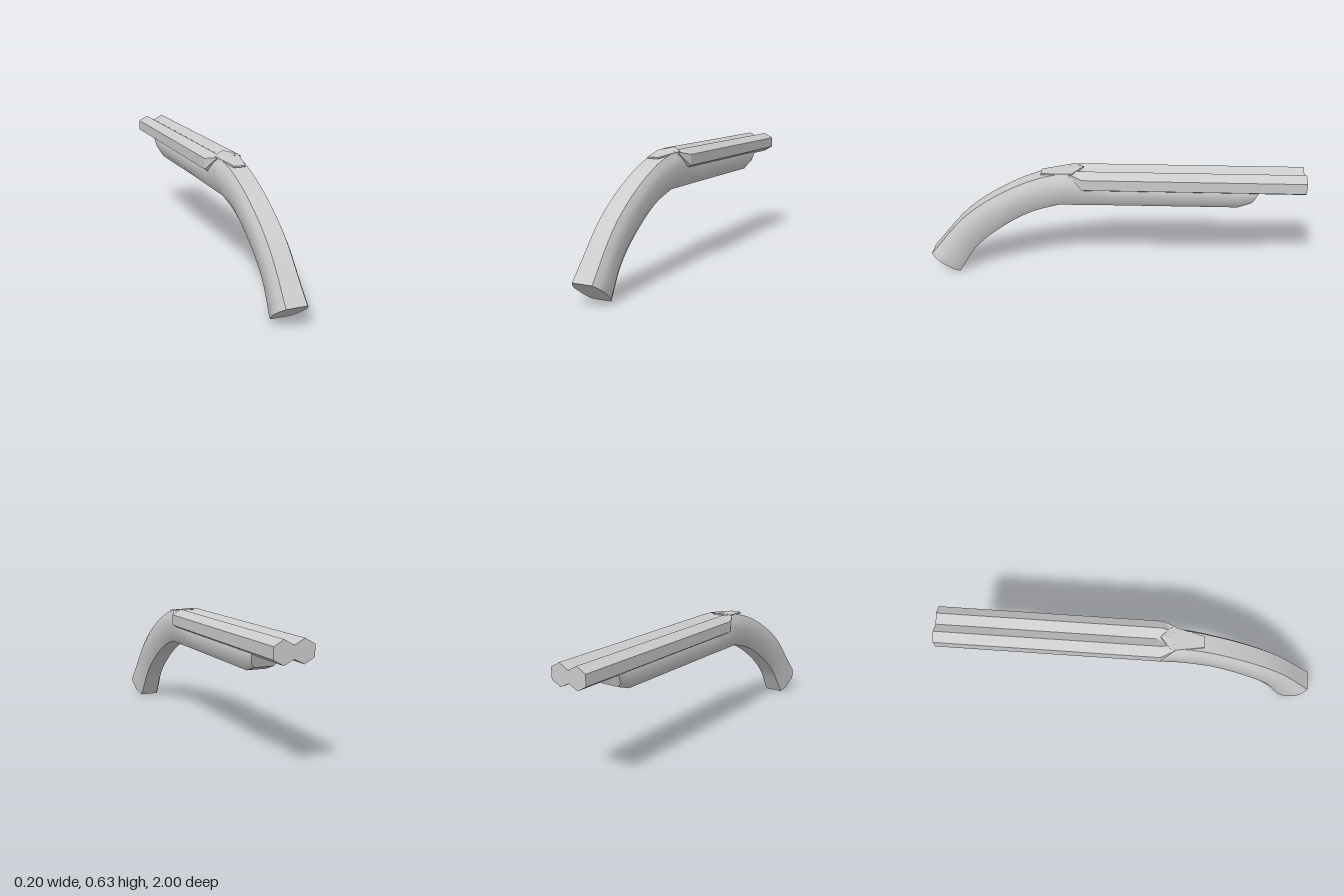
import * as THREE from 'three';
import { toCreasedNormals } from 'three/addons/utils/BufferGeometryUtils.js';

const grey = new THREE.MeshStandardMaterial({ color: 0xcccccc });

// Skin equal-length rings of [x, y, z] and close both ends
function loft(name, rings, crease) {
  const n = rings[0].length, pos = [], idx = [];
  rings.forEach(r => r.forEach(p => pos.push(...p)));
  for (let k = 0; k < rings.length - 1; k++) {
    for (let i = 0; i < n; i++) {
      const a = k * n + i, b = k * n + (i + 1) % n;
      idx.push(a, b, b + n, a, b + n, a + n);
    }
  }
  const last = (rings.length - 1) * n;
  [[rings[0], 0, true], [rings[rings.length - 1], last, false]].forEach(([ring, base, flip]) => {
    const c = pos.length / 3;
    pos.push(...[0, 1, 2].map(j => ring.reduce((s, p) => s + p[j], 0) / n));
    for (let i = 0; i < n; i++) {
      const a = base + i, b = base + (i + 1) % n;
      if (flip) idx.push(c, b, a); else idx.push(c, a, b);
    }
  });
  const geo = new THREE.BufferGeometry();
  geo.setAttribute('position', new THREE.Float32BufferAttribute(pos, 3));
  geo.setIndex(idx);
  const mesh = new THREE.Mesh(toCreasedNormals(geo, crease), grey);
  mesh.name = name;
  return mesh;
}

// Half outline of the stock: [fraction of half width, fraction from top to bottom]
const halfOutline = [[0.65, 0], [0.88, 0.17], [1, 0.38], [0.88, 0.8], [0.64, 1]];

function stockRing([topZ, topY, botZ, botY, w]) {
  const side = s => halfOutline.map(([x, t]) =>
    [s * x * w, topY + (botY - topY) * t, topZ + (botZ - topZ) * t]);
  return [...side(1).reverse(), ...side(-1)];
}

const curve = pts => new THREE.CatmullRomCurve3(pts.map(([z, y]) => new THREE.Vector3(0, y, z)));

export function createModel() {
  const group = new THREE.Group();

  // Straight fore-end followed by the curved grip
  const sections = [
    [-0.775, 0.57, -0.73, 0.46, 0.078],
    [-0.68, 0.57, -0.66, 0.435, 0.08],
    [0, 0.57, 0, 0.434, 0.08],
    [0.13, 0.6, 0.2, 0.433, 0.082],
  ];
  const top = curve([[0.2, 0.62], [0.36, 0.59], [0.57, 0.5], [0.786, 0.353], [1, 0.11]]);
  const bottom = curve([[0.28, 0.433], [0.42, 0.388], [0.57, 0.305], [0.74, 0.165], [0.85, 0]]);
  const steps = 18;
  for (let i = 0; i <= steps; i++) {
    const u = i / steps, a = top.getPointAt(u), b = bottom.getPointAt(u);
    const flare = Math.max(0, 1 - u / 0.22, (u - 0.82) / 0.18);
    sections.push([a.z, a.y, b.z, b.y, 0.073 + 0.008 * flare]);
  }
  group.add(loft('stock', sections.map(stockRing), 0.7));

  // Twin six-sided barrels joined along the middle, pinched at the front
  const outline = [[0, 0.54], [0.05, 0.515], [0.1, 0.543], [0.1, 0.6], [0.05, 0.628],
    [0, 0.6], [-0.05, 0.628], [-0.1, 0.6], [-0.1, 0.543], [-0.05, 0.515]];
  group.add(loft('barrels', [
    outline.map(([x, y]) => [x, y, -1]),
    outline.map(([x, y]) => [x, y, 0.155]),
    outline.map(([x, y]) => [x * 0.66, 0.612 + (y - 0.572) * 0.15, 0.225]),
  ], 0.1));

  // Thin pointed plate over the joint
  const plate = [[0, 0.635, 0.15], [-0.065, 0.62, 0.21], [-0.03, 0.602, 0.375],
    [0.03, 0.602, 0.375], [0.065, 0.62, 0.21]];
  group.add(loft('topPlate', [plate.map(([x, y, z]) => [x, y - 0.008, z]), plate], 0.1));

  return group;
}
